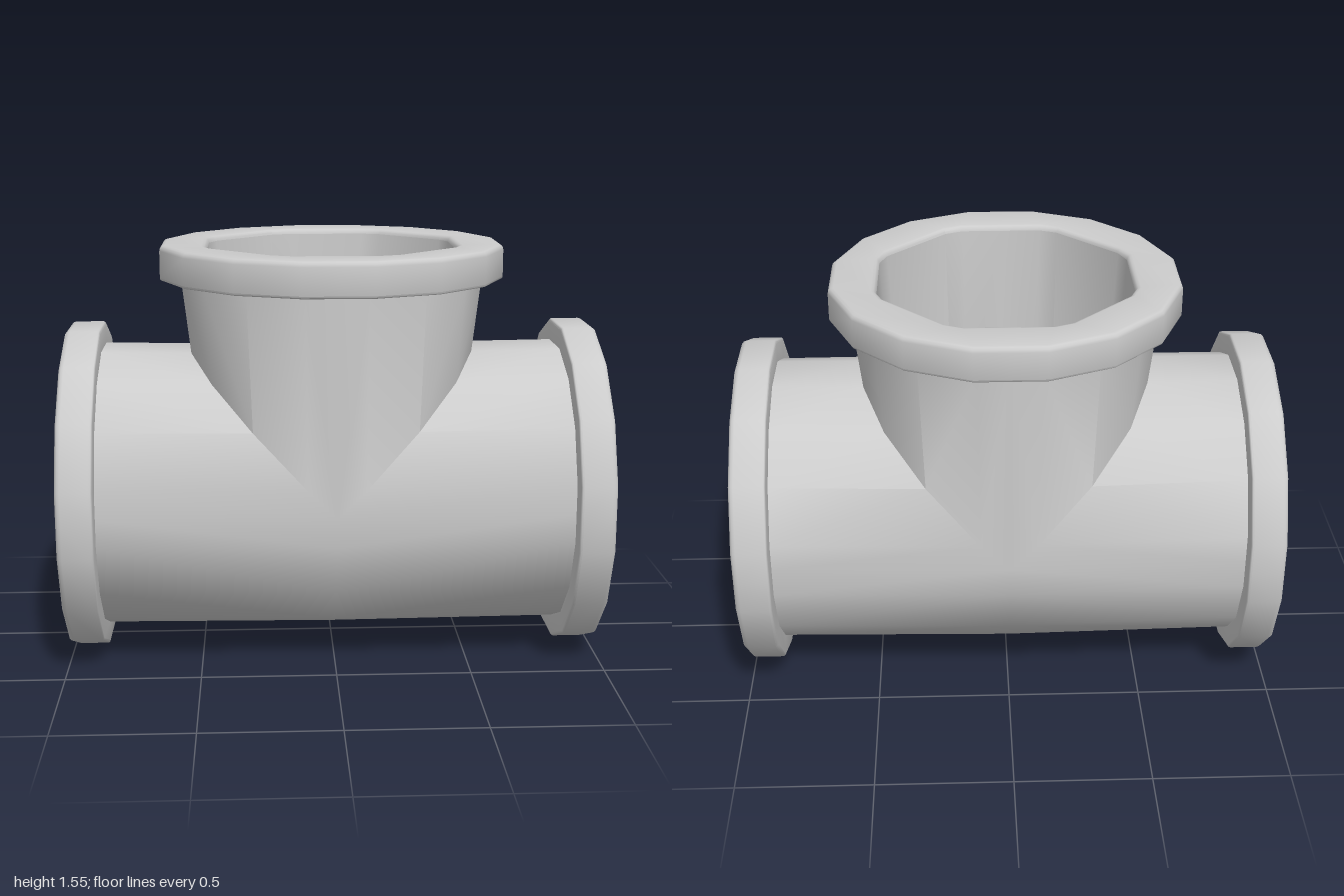
import * as THREE from 'three';
import { toCreasedNormals } from 'three/addons/utils/BufferGeometryUtils.js';

const CY = 0.615; // height of the run's axis
const OUTER = [11.25, 33.75, 56.25, 78.75]; // regular 16-gon, per quadrant
const BORE = [18, 26.5, 63.5, 72]; // octagon with clipped corners

// Polygon section as [v, w] pairs; the first ten points are the half with v >= 0
function section(r, angles) {
  const points = [];
  const mid = r * Math.cos(THREE.MathUtils.degToRad(angles[0]));
  for (let q = 0; q < 4; q++) {
    if (q === 0) points.push([0, -mid]);
    if (q === 2) points.push([0, mid]);
    for (const d of angles) {
      const a = THREE.MathUtils.degToRad(d + (q - 1) * 90);
      points.push([r * Math.cos(a), r * Math.sin(a)]);
    }
  }
  return points;
}

// Section placed across the run (x axis) or across the branch (y axis)
const acrossRun = (r, angles, x) => section(r, angles).map(([v, w]) => [x, CY + v, w]);
const acrossBranch = (r, angles, y) => section(r, angles).map(([v, w]) => [v, y, w]);

// 45 degree seam where run and branch meet
function seam(r, angles, up, down) {
  return section(r, angles).map(([v, w]) => {
    const h = v > 0 ? v * up : v * down;
    return [Math.max(h, 0), CY + h, w];
  });
}

// Adds the skin between successive loops to a position list
function skin(out, loops, { closed = true, flip = false, side = 1 } = {}) {
  const n = loops[0].length;
  const reverse = flip !== (side < 0);
  const tri = (a, b, c) => {
    for (const p of reverse ? [a, c, b] : [a, b, c]) out.push(p[0] * side, p[1], p[2]);
  };
  for (let i = 0; i + 1 < loops.length; i++) {
    const A = loops[i], B = loops[i + 1];
    for (let j = 0; j < (closed ? n : n - 1); j++) {
      const k = (j + 1) % n;
      tri(A[j], A[k], B[j]);
      tri(A[k], B[k], B[j]);
    }
  }
}

function makeMesh(name, positions) {
  const geometry = new THREE.BufferGeometry();
  geometry.setAttribute('position', new THREE.Float32BufferAttribute(positions, 3));
  const material = new THREE.MeshStandardMaterial({ color: 0xcccccc, side: THREE.DoubleSide });
  const mesh = new THREE.Mesh(toCreasedNormals(geometry, THREE.MathUtils.degToRad(36)), material);
  mesh.name = name;
  return mesh;
}

// Collar loops: back face, rounded rim, front face, rounded mouth
function collar(place, from, to, rPipe, rRim, rBore) {
  const b = 0.02;
  const loops = [place(rPipe, OUTER, from)];
  const arc = [0, 30, 60, 90].map(THREE.MathUtils.degToRad);
  for (const a of arc.slice().reverse())
    loops.push(place(rRim - b / 2 + b / 2 * Math.cos(a), OUTER, from + b / 2 - b / 2 * Math.sin(a)));
  for (const a of arc)
    loops.push(place(rRim - b + b * Math.cos(a), OUTER, to - b + b * Math.sin(a)));
  for (const a of arc.slice().reverse())
    loops.push(place(rBore + b - b * Math.cos(a), BORE, to - b + b * Math.sin(a)));
  return loops;
}

export function createModel() {
  const group = new THREE.Group();
  const half = loop => loop.slice(0, 10);

  // Outer shell and inner bore of the tee, each mirrored left and right
  const shell = [], bore = [];
  const outerSeam = seam(0.571, OUTER, 0.945, 0.965);
  const boreSeam = seam(0.458, BORE, 1, 0.97);
  for (const side of [1, -1]) {
    skin(shell, [outerSeam, acrossRun(0.545, OUTER, 0.87)], { side });
    skin(shell, [half(outerSeam), half(acrossBranch(0.573, OUTER, 1.42))], { side, flip: true, closed: false });
    skin(bore, [acrossRun(0.447, BORE, 0.98), boreSeam], { side });
    skin(bore, [half(acrossBranch(0.488, BORE, 1.53)), half(boreSeam)], { side, flip: true, closed: false });
  }
  group.add(makeMesh('pipeBody', shell), makeMesh('innerBore', bore));

  // Collars on both ends of the run
  for (const side of [1, -1]) {
    const rim = [];
    skin(rim, collar(acrossRun, 0.867, 1, 0.54, 0.628, 0.447), { side });
    group.add(makeMesh(side > 0 ? 'leftCollar' : 'rightCollar', rim));
  }

  // Collar on top of the branch
  const top = [];
  skin(top, collar(acrossBranch, 1.42, 1.55, 0.565, 0.652, 0.488), { flip: true });
  group.add(makeMesh('topCollar', top));

  return group;
}
